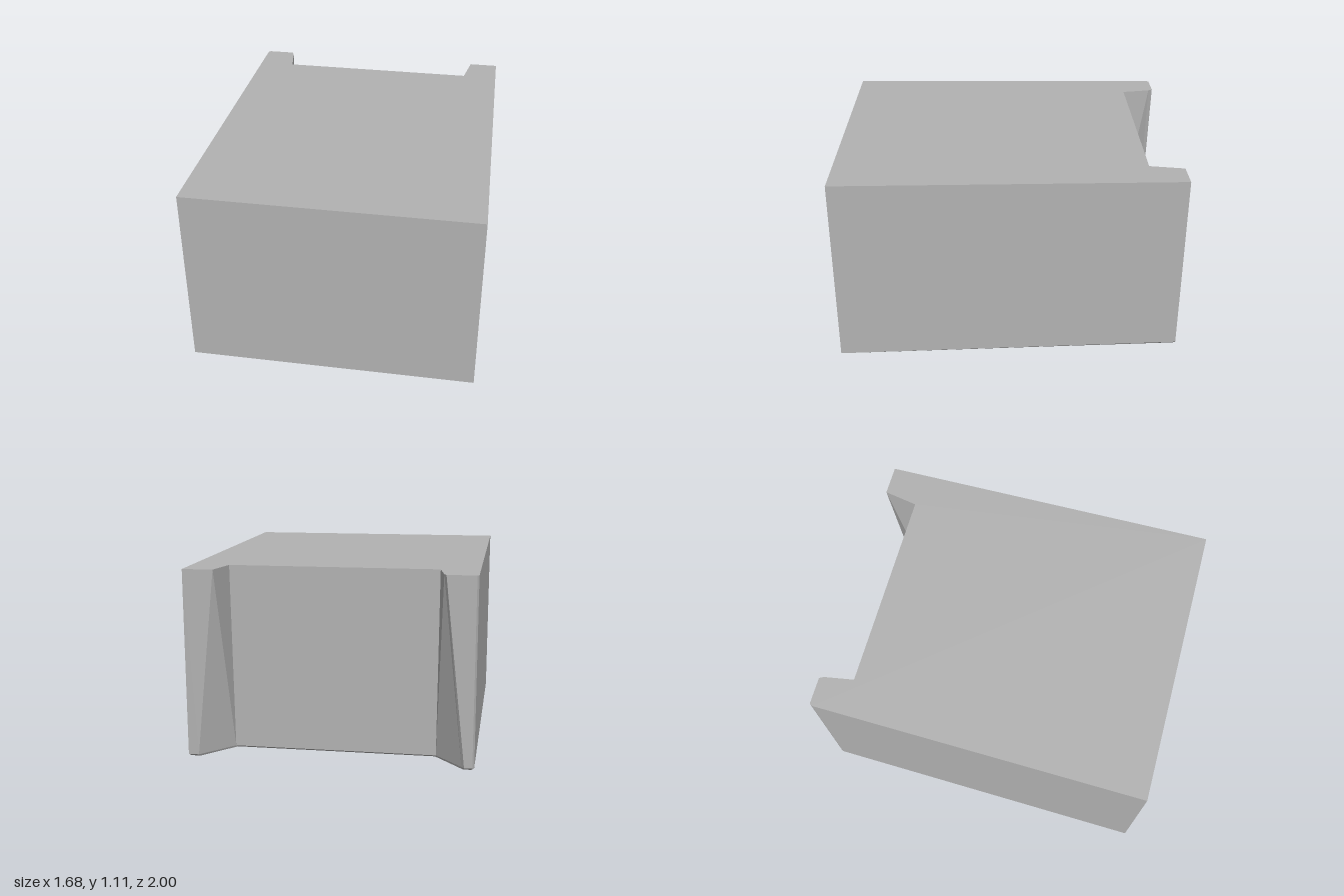
import * as THREE from 'three';

// Outline seen from above, counter-clockwise: top edge, lower wall edge and underside edge as [x, z]
const OUTLINE = [
  { top: [0.84, 1], wall: [0.84, 1], base: [0.84, 1] },               // front corner
  { top: [0.81, -1], wall: [0.81, -1], base: [0.80, -0.985] },        // rear outer corner
  { top: [0.635, -1], wall: [0.75, -1], base: [0.745, -0.985] },      // rear inner corner
  { top: [0.60, -0.8], wall: [0.587, -0.8], base: [0.58, -0.785] },   // notch corner
  { top: [-0.595, -0.8], wall: [-0.587, -0.8], base: [-0.58, -0.785] },
  { top: [-0.625, -0.975], wall: [-0.74, -0.98], base: [-0.74, -0.975] },
  { top: [-0.638, -1], wall: [-0.755, -1], base: [-0.75, -0.985] },
  { top: [-0.80, -1], wall: [-0.80, -1], base: [-0.795, -0.985] },
  { top: [-0.81, -0.985], wall: [-0.81, -0.985], base: [-0.80, -0.975] },
  { top: [-0.84, 1], wall: [-0.84, 1], base: [-0.84, 1] },
];
const HEIGHT = 1.11;

// One ring of points, with its height given by a rule of z
const ring = (key, heightAt) =>
  OUTLINE.map((p) => new THREE.Vector3(p[key][0], heightAt(p[key][1]), p[key][1]));

function flatMesh(name, points, material) {
  const geometry = new THREE.BufferGeometry().setFromPoints(points);
  geometry.computeVertexNormals();
  const mesh = new THREE.Mesh(geometry, material);
  mesh.name = name;
  return mesh;
}

// Strip of walls between two rings; the diagonals mirror across x = 0
function band(lower, upper) {
  const points = [];
  lower.forEach((a, i) => {
    const j = (i + 1) % lower.length;
    const b = lower[j], c = upper[j], d = upper[i];
    if (a.x > 0) points.push(a, b, d, b, c, d);
    else points.push(a, b, c, a, c, d);
  });
  return points;
}

// Fill of one ring, facing up or down
function cap(loop, up) {
  const flat = loop.map((p) => new THREE.Vector2(p.x, -p.z));
  return THREE.ShapeUtils.triangulateShape(flat, []).flatMap(([a, b, c]) =>
    (up ? [a, b, c] : [a, c, b]).map((i) => loop[i]));
}

export function createModel() {
  const grey = new THREE.MeshStandardMaterial({ color: 0xb2b2b2, flatShading: true });
  grey.name = 'plain grey';

  const top = ring('top', () => HEIGHT);
  const wall = ring('wall', (z) => 0.0225 * (1 - z));
  const base = ring('base', (z) => 0.0165 * (1 - z));

  const group = new THREE.Group();
  group.name = 'notchedBlock';
  group.add(
    flatMesh('topFace', cap(top, true), grey),
    flatMesh('walls', band(wall, top), grey),
    flatMesh('lowerBevel', band(base, wall), grey),
    flatMesh('slopedUnderside', cap(base, false), grey),
  );
  return group;
}
